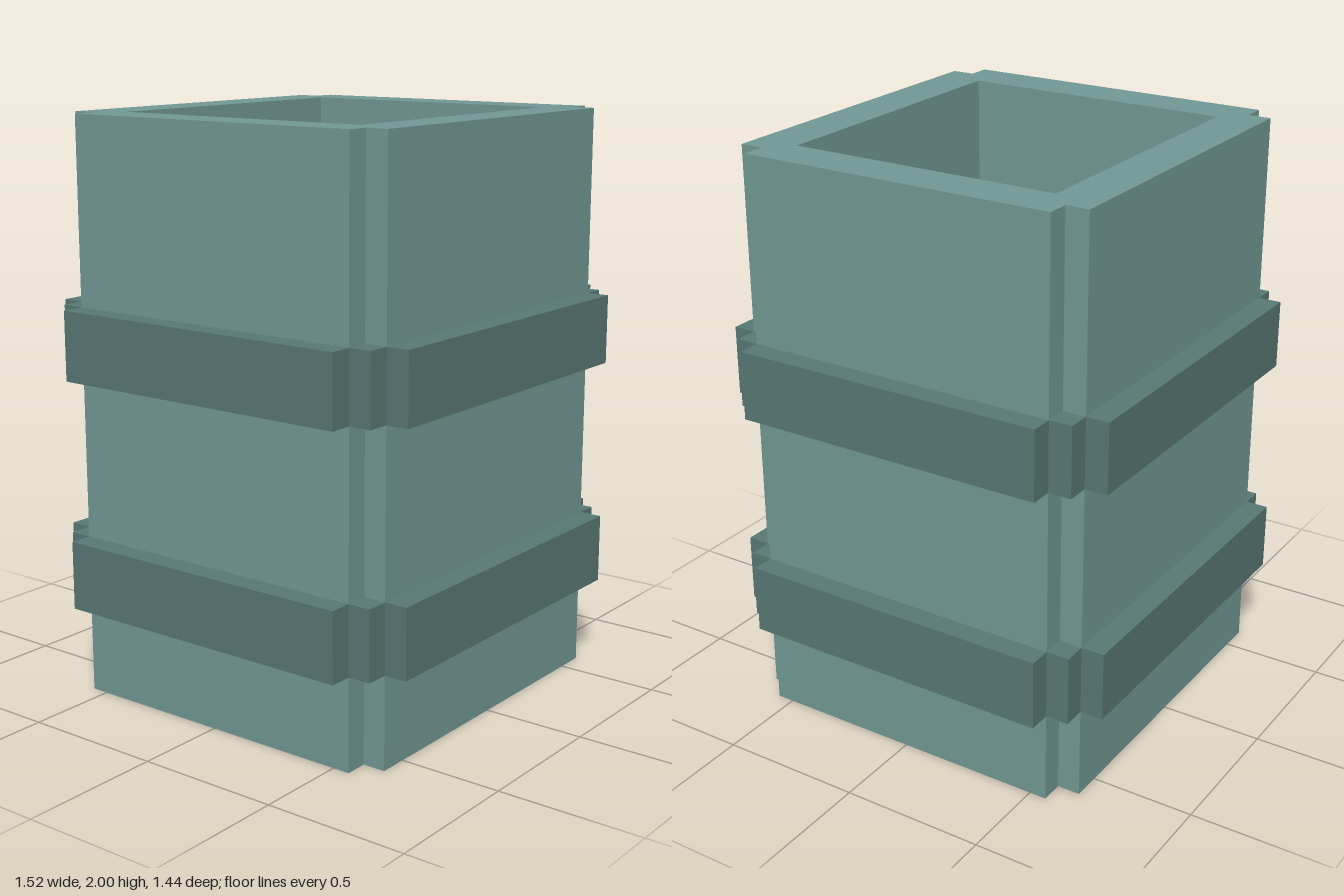
import * as THREE from 'three';

const bodyMat = new THREE.MeshStandardMaterial({ name: 'paleTeal', color: 0x739a96 });
const bandMat = new THREE.MeshStandardMaterial({ name: 'darkTeal', color: 0x597975 });

// Mirrors one corner's points (from the +x side round to the +z side) into a full outline
function outline(corner) {
  const flipped = [...corner].reverse();
  return [
    ...corner,
    ...flipped.map(([x, z]) => [-x, z]),
    ...corner.map(([x, z]) => [-x, -z]),
    ...flipped.map(([x, z]) => [x, -z]),
  ].map(([x, z]) => new THREE.Vector2(x, z));
}

const bodyOutline = outline([[0.68, 0.56], [0.6, 0.56], [0.6, 0.64]]);
const bandOutline = outline([[0.76, 0.56], [0.68, 0.56], [0.68, 0.64], [0.6, 0.64], [0.6, 0.72]]);
const cavityOutline = outline([[0.52, 0.48]]);

// Upright ring with flat sides, standing between y0 and y1
function ring(name, outer, inner, y0, y1, material) {
  const shape = new THREE.Shape(outer);
  shape.holes.push(new THREE.Path(inner));
  const geometry = new THREE.ExtrudeGeometry(shape, { depth: y1 - y0, bevelEnabled: false });
  geometry.rotateX(-Math.PI / 2);
  geometry.translate(0, y0, 0);
  const mesh = new THREE.Mesh(geometry, material);
  mesh.name = name;
  return mesh;
}

export function createModel() {
  const model = new THREE.Group();
  model.name = 'openContainer';

  // Hollow body with notched corners
  model.add(ring('walls', bodyOutline, cavityOutline, 0, 2, bodyMat));

  // Floor closing the cavity
  const floor = new THREE.Mesh(new THREE.BoxGeometry(1.04, 0.08, 0.96), bodyMat);
  floor.name = 'floor';
  floor.position.y = 0.04;
  model.add(floor);

  // Two raised bands with stepped corners
  model.add(ring('lowerBand', bandOutline, bodyOutline, 0.32, 0.56, bandMat));
  model.add(ring('upperBand', bandOutline, bodyOutline, 1.12, 1.36, bandMat));

  return model;
}
